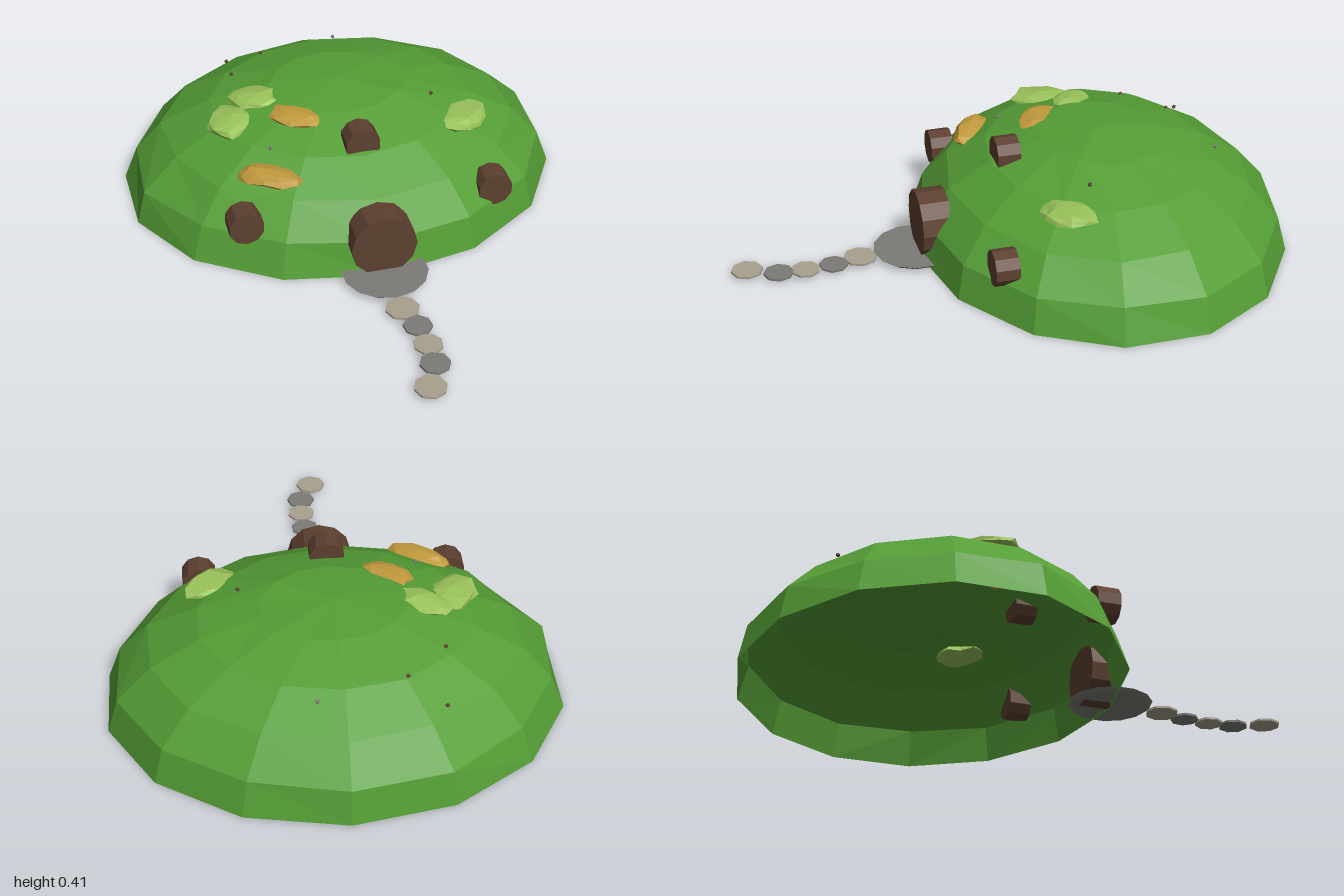
import * as THREE from 'three';

const material = (color, side = THREE.FrontSide) =>
  new THREE.MeshStandardMaterial({ color, flatShading: true, side });
const grass = material(0x559e36, THREE.DoubleSide);
const wood = material(0x5d4030);
const greyStone = material(0x7d7b76);
const paleStone = material(0xa8a08e);
const leaf = material(0x9ac25a);
const straw = material(0xc0993c);

const RX = 0.8, RZ = 0.67, H = 0.405, CZ = -0.33;

// Repeatable value in -1..1 for a position, so shared corners move together
function noise(x, y, z, seed) {
  const s = Math.sin(Math.round(x * 100) * 12.99 + Math.round(y * 100) * 78.23 +
    Math.round(z * 100) * 37.72 + seed * 5.31) * 43758.5;
  return (s - Math.floor(s)) * 2 - 1;
}

// Height of the mound above a ground position
const moundHeight = (x, z) =>
  H * Math.sqrt(Math.max(0, 1 - (x / RX) ** 2 - ((z - CZ) / RZ) ** 2));

export function createModel() {
  const model = new THREE.Group();
  const add = (name, geometry, mat, x, y, z) => {
    const mesh = new THREE.Mesh(geometry, mat);
    mesh.name = name;
    mesh.position.set(x, y, z);
    model.add(mesh);
    return mesh;
  };

  // Hollow grassy mound, open underneath
  const profile = [];
  for (let i = 0; i <= 5; i++) {
    const a = (i / 5) * Math.PI / 2;
    profile.push(new THREE.Vector2(i === 5 ? 0 : Math.cos(a), Math.sin(a)));
  }
  const dome = new THREE.LatheGeometry(profile, 14);
  const p = dome.attributes.position;
  for (let i = 0; i < p.count; i++) {
    const x = p.getX(i), y = p.getY(i), z = p.getZ(i);
    const k = y > 0.01 && y < 0.99 ? 1 + 0.015 * noise(x, y, z, 1) : 1;
    p.setXYZ(i, x * RX * k, y * H * (2 - k), z * RZ * k);
  }
  add('mound', dome, grass, 0, 0, CZ);

  // Round door and windows: short drums facing forward
  const drum = (name, radius, depth, sides, x, y, z) =>
    add(name, new THREE.CylinderGeometry(radius, radius, depth, sides).rotateX(Math.PI / 2), wood, x, y, z);
  drum('door', 0.118, 0.105, 12, 0, 0.121, 0.283);
  drum('upperWindow', 0.063, 0.083, 10, 0, 0.352, 0.008);
  for (const side of [-1, 1]) {
    drum(side > 0 ? 'leftWindow' : 'rightWindow', 0.063, 0.083, 10, side * 0.45, 0.171, 0.14);
  }

  // Doorstep and stepping stones
  add('doorstep', new THREE.CylinderGeometry(0.152, 0.138, 0.012, 14), greyStone, 0, 0.017, 0.34);
  const stones = [
    [0.005, 0.543, 0.06], [0.03, 0.643, 0.051], [0.037, 0.743, 0.051],
    [0.032, 0.838, 0.053], [-0.015, 0.942, 0.056],
  ];
  stones.forEach(([x, z, r], i) => {
    add('steppingStone', new THREE.CylinderGeometry(r, r, 0.008, 8, 1, false, i === 4 ? 0 : i * 0.5),
      i % 2 ? greyStone : paleStone, x, 0.015, z);
  });

  // Flattened, ragged plant patches: centre, half sizes, turn
  const patches = [
    [leaf, -0.405, 0.335, -0.245, 0.11, 0.028, 0.085, 0.9],
    [leaf, -0.28, 0.362, -0.32, 0.115, 0.027, 0.072, -0.35],
    [leaf, 0.41, 0.315, -0.1, 0.1, 0.025, 0.08, 0.7],
    [straw, -0.185, 0.367, -0.165, 0.105, 0.024, 0.066, -0.65],
    [straw, -0.34, 0.282, 0.043, 0.12, 0.03, 0.06, -0.5],
  ];
  patches.forEach(([mat, x, y, z, sx, sy, sz, turn], n) => {
    const g = new THREE.IcosahedronGeometry(1, 1);
    const q = g.attributes.position;
    for (let i = 0; i < q.count; i++) {
      const v = new THREE.Vector3().fromBufferAttribute(q, i);
      v.multiplyScalar(1 + 0.16 * noise(v.x, v.y, v.z, n + 2));
      q.setXYZ(i, v.x * sx, v.y * sy, v.z * sz);
    }
    g.computeVertexNormals();
    add('plantPatch', g, mat, x, y, z).rotation.y = turn;
  });

  // Tiny pebbles scattered over the grass
  const pebbles = [[-0.33, -0.75], [-0.21, -0.67], [0.09, -0.75], [-0.35, -0.54], [0.32, -0.2], [-0.31, -0.05]];
  pebbles.forEach(([x, z], i) => {
    add('pebble', new THREE.IcosahedronGeometry(0.008, 0), [wood, wood, greyStone][i % 3],
      x, moundHeight(x, z), z);
  });

  return model;
}
